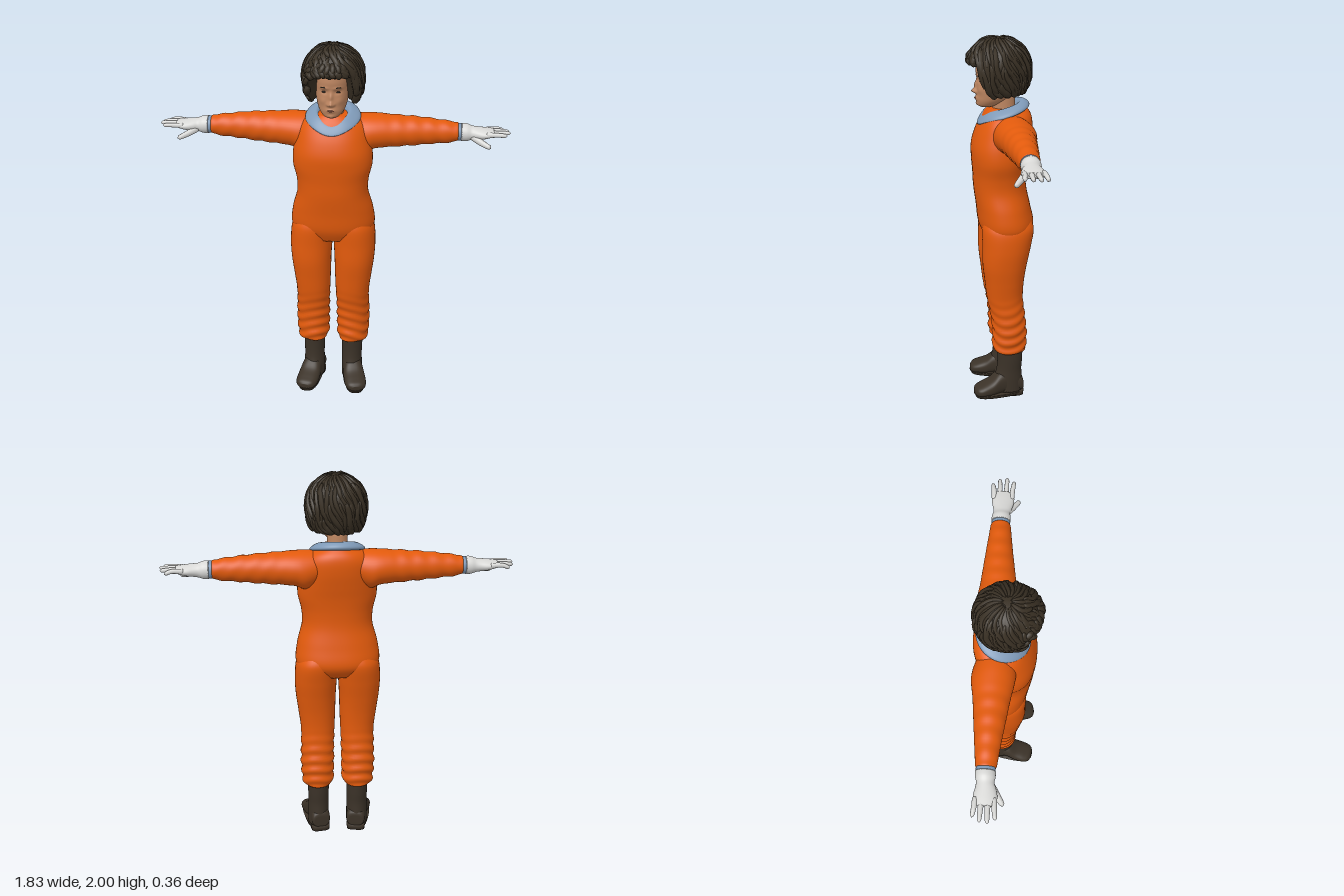
import * as THREE from 'three';
import { mergeGeometries, mergeVertices } from 'three/addons/utils/BufferGeometryUtils.js';

const mat = (name, color) => Object.assign(new THREE.MeshStandardMaterial({ color }), { name });
const M = {
  suit: mat('orange suit', 0xe25a0c), trim: mat('blue trim', 0x7f9ab8), skin: mat('skin', 0xbd8560),
  hair: mat('dark hair', 0x382f23), boot: mat('boot leather', 0x3b3228), glove: mat('white glove', 0xd8d8d6),
  lip: mat('lips', 0x9a5f4b), eye: mat('eyes', 0x2a2019),
};
M.trim.side = THREE.DoubleSide;

// Grid surface: u closes on itself, v runs along; fn returns a point
function surface(nu, nv, fn) {
  const pos = [], idx = [];
  for (let j = 0; j <= nv; j++) for (let i = 0; i < nu; i++) pos.push(...fn(i / nu, j / nv));
  for (let j = 0; j < nv; j++) for (let i = 0; i < nu; i++) {
    const a = j * nu + i, b = j * nu + (i + 1) % nu;
    idx.push(a, a + nu, b, b, a + nu, b + nu);
  }
  const g = new THREE.BufferGeometry();
  g.setAttribute('position', new THREE.Float32BufferAttribute(pos, 3));
  g.setIndex(idx);
  g.computeVertexNormals();
  return g;
}

function spline(rows, s) {
  const n = rows.length - 1, i = Math.min(Math.floor(s * n), n - 1), t = s * n - i;
  const [a, b, c, d] = [i - 1, i, i + 1, i + 2].map(k => rows[THREE.MathUtils.clamp(k, 0, n)]);
  return b.map((_, k) => b[k] + 0.5 * t * (c[k] - a[k] + t * (2 * a[k] - 5 * b[k] + 4 * c[k] - d[k] + t * (3 * (b[k] - c[k]) + d[k] - a[k]))));
}

// Capped loft along an axis; rows are [position, min1, max1, min2, max2] of each cross-section
function loft(axis, rows, { power = 2, nu = 40, nv = 48, bump } = {}) {
  const pw = x => Math.sign(x) * Math.abs(x) ** (2 / power);
  return surface(nu, nv + 2, (u, v) => {
    const j = Math.round(v * (nv + 2)), cap = j === 0 || j === nv + 2 ? 0 : 1;
    const [t, a0, a1, b0, b1] = spline(rows, THREE.MathUtils.clamp((j - 1) / nv, 0, 1));
    const w = u * Math.PI * 2, c = pw(Math.cos(w)) * cap, s = pw(Math.sin(w)) * cap;
    const A = k => (a0 + a1 + k * (a1 - a0)) / 2, B = k => (b0 + b1 + k * (b1 - b0)) / 2;
    const p = axis === 'y' ? [A(c), t, B(s)] : axis === 'x' ? [t, A(s), B(c)] : [A(c), B(-s), t];
    if (bump && cap) bump(p, w);
    return p;
  });
}

// Tube with rounded, tapering ends
function taper(points, r, { n = 12, k = 8, start = 1, end = 1, round = 6 } = {}) {
  const curve = new THREE.CatmullRomCurve3(points.map(p => new THREE.Vector3(...p)));
  const g = new THREE.TubeGeometry(curve, n, r, k), P = g.attributes.position, v = new THREE.Vector3();
  for (let i = 0; i < P.count; i++) {
    const t = Math.floor(i / (k + 1)) / n, c = curve.getPointAt(t);
    const f = Math.sqrt(Math.max(0, 1 - Math.abs(2 * t - 1) ** round)) * (start + (end - start) * t);
    v.fromBufferAttribute(P, i).sub(c).multiplyScalar(f).add(c);
    P.setXYZ(i, v.x, v.y, v.z);
  }
  g.deleteAttribute('uv');
  g.deleteAttribute('normal');
  const m = mergeVertices(g, 1e-6);
  m.computeVertexNormals();
  return m;
}

function mirrored(g) {
  const m = g.clone().scale(-1, 1, 1), ix = m.index;
  for (let i = 0; i < ix.count; i += 3) {
    const a = ix.getX(i);
    ix.setX(i, ix.getX(i + 1));
    ix.setX(i + 1, a);
  }
  m.computeVertexNormals();
  return m;
}

const blob = (x, y, z, rx, ry, rz) => new THREE.SphereGeometry(1, 20, 14).scale(rx, ry, rz).translate(x, y, z);

export function createModel() {
  const model = new THREE.Group();
  const add = (name, g, m) => {
    const mesh = new THREE.Mesh(g, m);
    mesh.name = name;
    model.add(mesh);
  };
  const pair = (name, g, m) => { add('left' + name, g, m); add('right' + name, mirrored(g), m); };

  // Suit torso
  add('torso', loft('y', [
    [0.93, -.17, .17, -.13, .085], [1.0, -.222, .222, -.174, .118], [1.1, -.214, .214, -.157, .13], [1.2, -.188, .188, -.136, .143],
    [1.28, -.19, .19, -.133, .147], [1.36, -.208, .208, -.14, .153], [1.43, -.207, .207, -.152, .153], [1.5, -.195, .195, -.163, .135],
    [1.56, -.18, .18, -.165, .108], [1.6, -.145, .145, -.155, .085], [1.63, -.09, .09, -.13, .06],
  ], { power: 2.25, nu: 56, nv: 60 }), M.suit);

  // Trouser legs with bunched folds above the boots
  pair('Leg', loft('y', [
    [.272, .045, .165, -.105, .02], [.285, .03, .19, -.128, .05], [.33, .024, .197, -.13, .055], [.4, .023, .201, -.13, .055],
    [.5, .021, .2, -.12, .065], [.6, .016, .2, -.11, .085], [.7, .012, .212, -.115, .097], [.8, .009, .225, -.13, .108],
    [.9, .004, .23, -.15, .108], [1.0, .004, .22, -.165, .108], [1.06, .02, .18, -.14, .09],
  ], {
    power: 2.2, nv: 90, bump: (p, w) => {
      const k = .0045 * THREE.MathUtils.smoothstep(.64 - p[1], 0, .2) * Math.sin(p[1] * 105 + 1.6 * Math.sin(w * 2 + 1) + 1.3 * Math.cos(w));
      p[0] += Math.cos(w) * k;
      p[2] += Math.sin(w) * k;
    },
  }), M.suit);

  // Sleeves and wrist bands
  pair('Sleeve', loft('x', [
    [.07, 1.46, 1.605, -.13, .04], [.16, 1.41, 1.612, -.16, .055], [.22, 1.428, 1.611, -.162, .05], [.3, 1.437, 1.606, -.15, .035],
    [.4, 1.445, 1.6, -.14, .02], [.5, 1.455, 1.591, -.13, .005], [.6, 1.465, 1.578, -.12, -.008], [.64, 1.473, 1.572, -.115, -.014], [.648, 1.482, 1.563, -.107, -.022],
  ], {
    nv: 60, bump: (p, w) => { p[1] += .0025 * Math.sin(p[0] * 75 + 2 * Math.sin(w)) * THREE.MathUtils.smoothstep(p[0], .22, .35); },
  }), M.suit);
  pair('WristBand', loft('x', [[.635, 1.477, 1.567, -.112, -.018], [.67, 1.477, 1.567, -.112, -.018]], { nv: 2 }), M.trim);

  // Gloves: gauntlet with palm, four fingers and a thumb
  const glove = [loft('x', [
    [.662, 1.474, 1.568, -.114, -.016], [.69, 1.475, 1.567, -.113, -.016], [.715, 1.483, 1.557, -.107, -.02], [.74, 1.487, 1.553, -.109, -.012],
    [.77, 1.491, 1.549, -.116, -.004], [.8, 1.499, 1.545, -.117, -.003], [.83, 1.509, 1.54, -.112, -.01],
  ], { nv: 24, nu: 28 })];
  for (const [z, dz, tip, y] of [[-.104, -.014, .885, 1.515], [-.076, -.006, .91, 1.525], [-.047, .003, .916, 1.53], [-.019, .012, .897, 1.528]])
    glove.push(taper([[.785, 1.525, z], [.85, 1.528, z + dz / 2], [tip, y, z + dz]], .0155, { end: .65, round: 10, n: 16 }));
  glove.push(taper([[.715, 1.51, -.045], [.765, 1.487, -.008], [.815, 1.47, .026]], .021, { end: .6, round: 10, n: 16 }));
  pair('Glove', mergeGeometries(glove), M.glove);

  // Boots, turned outwards
  const turn = g => g.translate(-.106, 0, .04).rotateY(.17).translate(.106, 0, -.04);
  pair('BootShaft', loft('y', [
    [.03, .05, .165, -.112, .045], [.1, .05, .165, -.11, .045], [.16, .051, .163, -.106, .032], [.22, .05, .165, -.11, .028], [.3, .048, .167, -.112, .03],
  ], { nv: 24 }), M.boot);
  pair('BootFoot', turn(loft('z', [
    [-.112, .07, .145, .03, .09], [-.1, .056, .157, .022, .115], [-.04, .054, .158, .022, .15], [.02, .053, .163, .018, .145],
    [.07, .05, .171, .016, .105], [.12, .053, .172, .018, .083], [.15, .066, .16, .022, .07], [.163, .09, .135, .03, .055],
  ], { power: 2.5, nv: 36 })), M.boot);
  pair('BootSole', turn(loft('y', [
    [.008, .058, .166, -.11, .155], [.03, .051, .173, -.115, .166],
  ], { power: 2.7, nv: 3 })), M.boot);
  pair('BootHeel', turn(loft('y', [[0, .057, .157, -.114, -.035], [.03, .055, .158, -.115, -.025]], { power: 3.5, nv: 2 })), M.boot);

  // Flat collar: rings from the neck opening, over the fold, to the outer edge
  const rings = [[.065, -.08, .06, -.01], [.08, -.1, .078, .013], [.1, -.122, .093, .014], [.135, -.145, .112, -.005], [.143, -.15, .12, -.022], [.12, -.13, .1, -.03]];
  add('collar', surface(64, 20, (u, v) => {
    const [rx, z0, z1, h] = spline(rings, v), w = u * Math.PI * 2;
    const z = (z0 + z1) / 2 - Math.cos(w) * (z1 - z0) / 2, front = Math.max(0, -Math.cos(w));
    return [rx * Math.sin(w), 1.622 - .27 * z + h - .024 * front ** 5, z];
  }), M.trim);

  // Neck and head, with sculpted face
  add('neck', loft('y', [[1.56, -.066, .066, -.09, .06], [1.61, -.056, .056, -.08, .045], [1.7, -.052, .052, -.075, .045]], { nv: 10 }), M.skin);
  const bumps = [ // x, y, spread x, spread y, height
    [0, 1.718, .012, .013, .026], [0, 1.75, .009, .024, .013], [.014, 1.713, .008, .008, .009], [.035, 1.777, .017, .011, -.009],
    [.032, 1.797, .022, .007, .005], [.045, 1.728, .018, .018, .005], [0, 1.681, .022, .011, .008], [0, 1.65, .018, .011, .006],
  ];
  add('head', loft('y', [
    [1.634, -.022, .022, .04, .1], [1.645, -.043, .043, .015, .118], [1.67, -.064, .064, -.03, .124], [1.7, -.076, .076, -.065, .123],
    [1.74, -.084, .084, -.09, .122], [1.78, -.087, .087, -.1, .121], [1.83, -.087, .087, -.1, .126], [1.88, -.08, .08, -.1, .113], [1.93, -.05, .05, -.06, .07],
  ], {
    nu: 96, nv: 90, power: 2.1, bump: p => {
      if (p[2] < .04) return;
      let d = 0;
      for (const [x, y, sx, sy, h] of bumps)
        d += h * Math.exp(-(((Math.abs(p[0]) - x) / sx) ** 2) - ((p[1] - y) / sy) ** 2);
      p[2] += d;
    },
  }), M.skin);
  pair('Ear', blob(.089, 1.74, .022, .013, .028, .018), M.skin);
  pair('Eye', blob(.035, 1.775, .105, .013, .0045, .006), M.eye);
  pair('Brow', taper([[.016, 1.796, .121], [.035, 1.801, .117], [.054, 1.795, .101]], .0038, { round: 3 }), M.hair);
  add('mouth', taper([[-.024, 1.68, .119], [0, 1.682, .131], [.024, 1.68, .119]], .0045, { round: 2 }), M.lip);

  // Hair: ridged cap that leaves the face open, its rim rolled in to the head
  const hem = az => 1.4 + 1.17 * THREE.MathUtils.smoothstep(Math.abs(Math.atan2(Math.sin(az), Math.cos(az))), .65, 1.3);
  const hairPoint = (az, v, scale = 1) => {
    const th = hem(az) * Math.min(v, 1), s = Math.sin(th) ** (th > Math.PI / 2 ? .55 : .9) * scale;
    return [.003 + .152 * s * Math.sin(az), 1.836 + .157 * Math.cos(th) * (.4 + .6 * scale), .008 + .162 * s * Math.cos(az)];
  };
  add('hairCap', surface(128, 36, (u, v) => {
    const az = u * Math.PI * 2, k = v * 1.25;
    const ridge = .012 * Math.abs(Math.sin(az * 14 + k * 4)) * Math.min(1, k * 2);
    return hairPoint(az, k, k <= 1 ? 1 + ridge : 1 - (k - 1) * 2);
  }), M.hair);

  // Layered locks swept from the crown, curling at the hem
  let seed = 7;
  const rnd = () => (seed = (seed * 16807) % 2147483647) / 2147483647;
  const locks = [];
  for (const [count, v0, v1, r] of [[22, .04, .55, .011], [30, .25, .8, .014], [34, .5, .96, .0165], [36, .72, 1.02, .019]])
    for (let i = 0; i < count; i++) {
      const az = (i + rnd() * .7) / count * Math.PI * 2, sway = .3 + rnd() * .35, lift = .97 + rnd() * .04;
      const end = v1 - rnd() * .06, pts = [];
      for (let j = 0; j <= 5; j++) {
        const t = j / 5;
        pts.push(hairPoint(az + sway * t * t * (1 - v0 * .5) + .05 * Math.sin(t * 7 + i), v0 + (end - v0) * t, lift));
      }
      locks.push(taper(pts, r * (.8 + rnd() * .4), { n: 12, k: 7, start: .7, end: 1.1, round: 4 }));
    }
  // Side-swept fringe over the forehead
  for (let i = 0; i < 6; i++) {
    const x = -.075 + i * .028;
    locks.push(taper([[x * .6, 1.93, .13], [x + .004, 1.9, .163 - x * x * 5], [x - .008, 1.868 + .004 * (i % 3), .158 - x * x * 6], [x - .022, 1.856, .14 - x * x * 6]], .017, { round: 4, end: .7 }));
  }
  add('hairLocks', mergeGeometries(locks), M.hair);

  return model;
}
